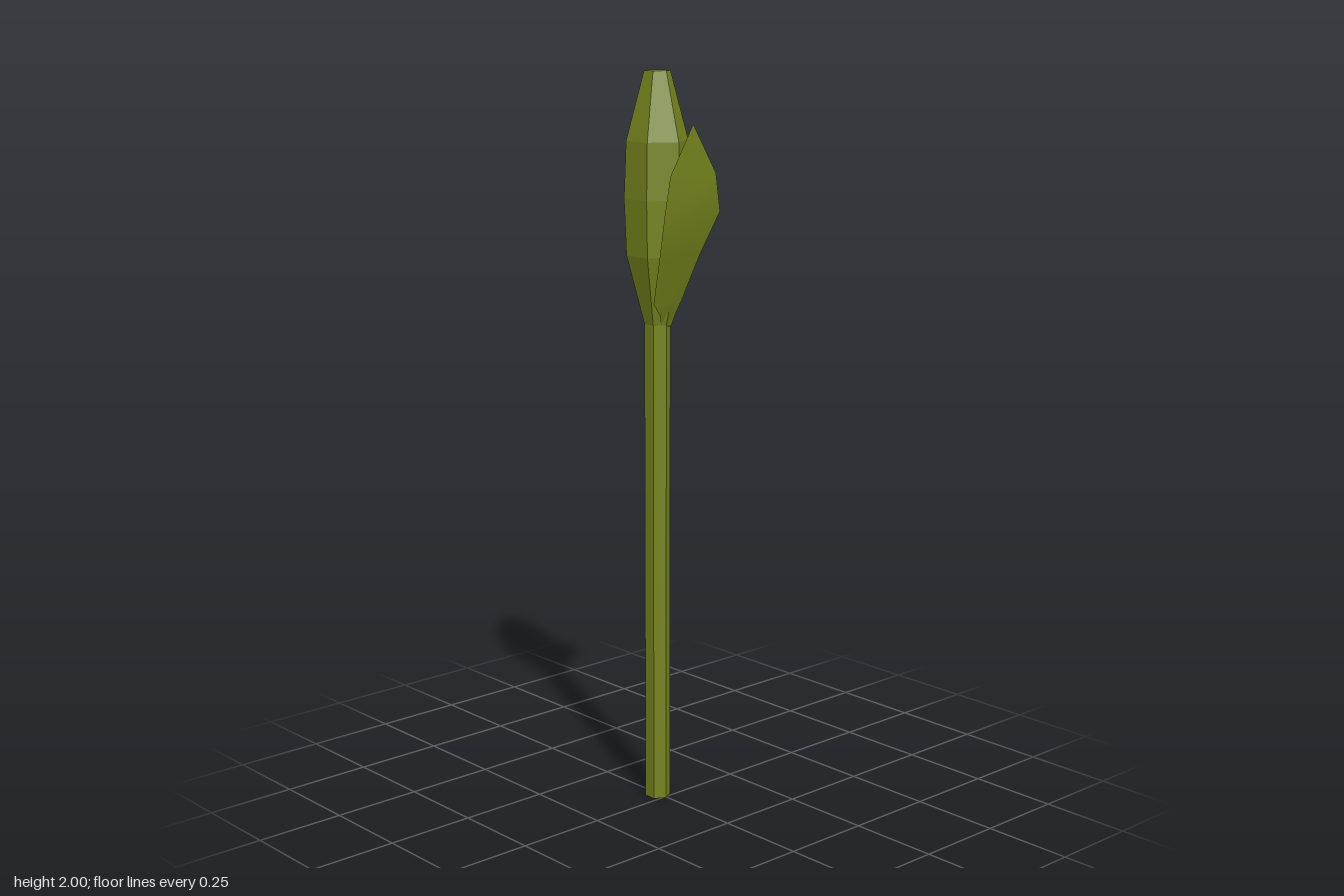
import * as THREE from 'three';

const OLIVE = 0x74831c;

// Six-sided turned solid with corners on the x axis
function hexLathe(name, profile, material) {
  const points = profile.map(([r, y]) => new THREE.Vector2(r, y));
  const mesh = new THREE.Mesh(new THREE.LatheGeometry(points, 6, Math.PI / 2), material);
  mesh.name = name;
  mesh.position.set(-0.029, 0, 0.003);
  return mesh;
}

// Thin sheet between a front edge and a back edge, closing to a tip
function leafGeometry(rows, tip) {
  const positions = [];
  const index = [];
  for (const [y, xFront, zFront, xBack, zBack] of rows) {
    positions.push(xFront, y, zFront, xBack, y, zBack);
  }
  positions.push(...tip);
  for (let i = 0; i < rows.length - 1; i++) {
    const a = i * 2;
    index.push(a, a + 1, a + 3, a, a + 3, a + 2);
  }
  const last = rows.length * 2;
  index.push(last - 2, last - 1, last);
  const geometry = new THREE.BufferGeometry();
  geometry.setAttribute('position', new THREE.Float32BufferAttribute(positions, 3));
  geometry.setIndex(index);
  geometry.computeVertexNormals();
  return geometry;
}

export function createModel() {
  const group = new THREE.Group();
  group.name = 'reed';
  const solid = new THREE.MeshStandardMaterial({ color: OLIVE, flatShading: true });
  const sheet = new THREE.MeshStandardMaterial({ color: OLIVE, side: THREE.DoubleSide });

  // Long straight stem
  group.add(hexLathe('stem', [[0, 0], [0.035, 0], [0.035, 1.335]], solid));

  // Swollen head with a flat top
  group.add(hexLathe('head', [
    [0.035, 1.335], [0.083, 1.52], [0.089, 1.67], [0.083, 1.82], [0.035, 2], [0, 2],
  ], solid));

  // Single leaf leaning away from the head: y, front edge x z, back edge x z
  const leaf = new THREE.Mesh(leafGeometry([
    [1.33, -0.003, 0.012, 0.0, -0.02],
    [1.365, 0.011, 0.03, 0.012, -0.025],
    [1.40, 0.024, 0.064, 0.026, -0.033],
    [1.52, 0.058, 0.074, 0.066, -0.059],
    [1.64, 0.093, 0.087, 0.114, -0.088],
    [1.74, 0.101, 0.075, 0.115, -0.072],
  ], [0.111, 1.87, 0.005]), sheet);
  leaf.name = 'leaf';
  group.add(leaf);

  return group;
}
